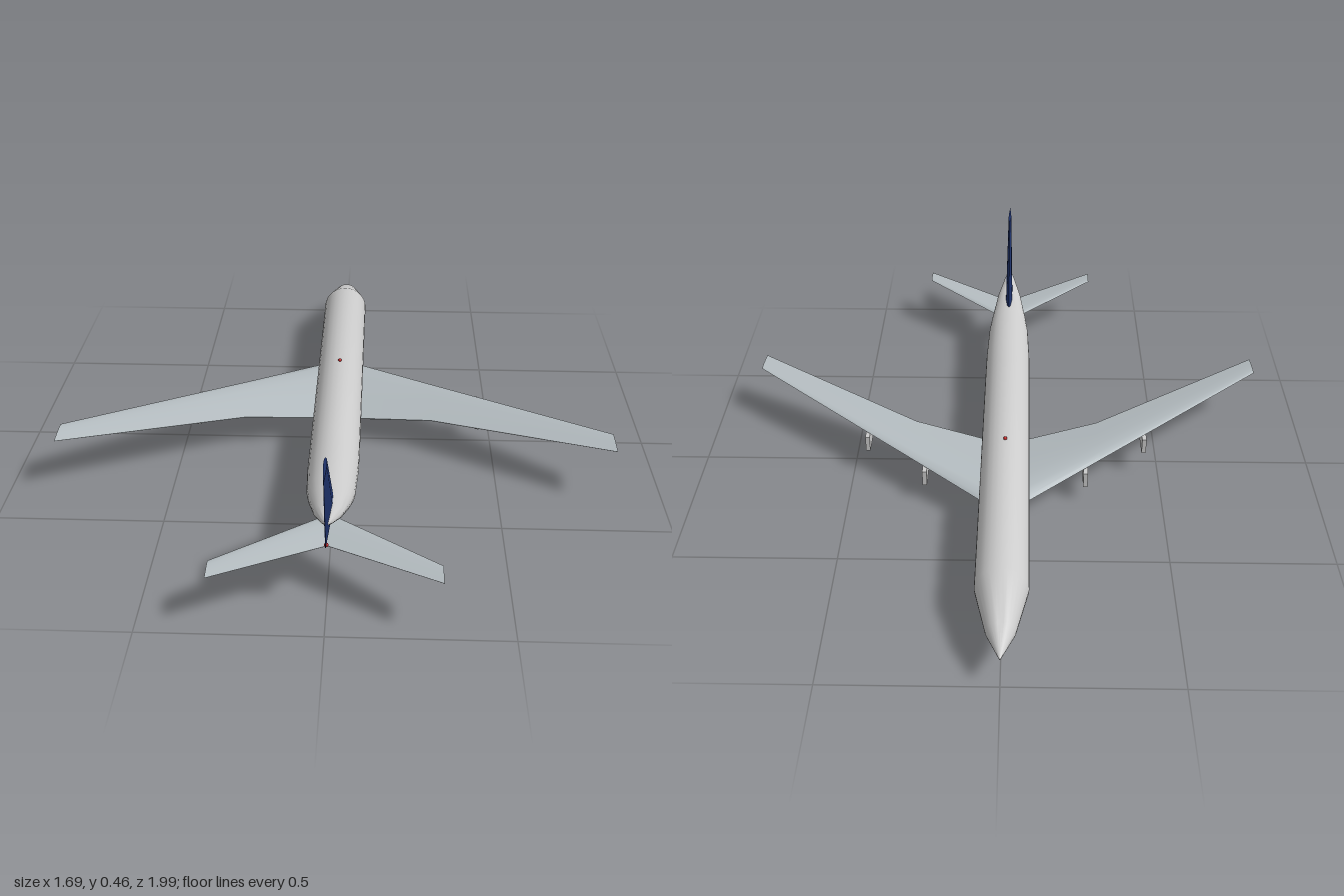
import * as THREE from 'three';
import { toCreasedNormals } from 'three/addons/utils/BufferGeometryUtils.js';

const material = (color) => new THREE.MeshStandardMaterial({ color });

// Skin a list of equal-length rings and close both ends
function loft(rings, crease = 0.6) {
  const n = rings[0].length, pos = rings.flat(2), idx = [];
  for (let i = 0; i < rings.length - 1; i++) {
    for (let j = 0; j < n; j++) {
      const a = i * n + j, b = i * n + (j + 1) % n;
      idx.push(a, b, a + n, b, b + n, a + n);
    }
  }
  const last = (rings.length - 1) * n;
  for (let j = 1; j < n - 1; j++) {
    idx.push(0, j + 1, j);
    idx.push(last, last + j, last + j + 1);
  }
  const g = new THREE.BufferGeometry();
  g.setAttribute('position', new THREE.Float32BufferAttribute(pos, 3));
  g.setIndex(idx);
  return toCreasedNormals(g, crease);
}

// Elliptical body along z from rows of [z, bottom, top, half width]
function body(rows, sides = 28) {
  return loft(rows.map(([z, y0, y1, rx]) => Array.from({ length: sides }, (_, j) => {
    const a = j / sides * Math.PI * 2;
    return [rx * Math.cos(a), (y0 + y1) / 2 + (y1 - y0) / 2 * Math.sin(a), z];
  })));
}

// Aerofoil outline: [fraction of chord, fraction of half thickness]
const FOIL = [[0, 0], [0.04, 0.5], [0.15, 0.9], [0.35, 1], [0.65, 0.65], [1, 0.06],
  [1, -0.06], [0.65, -0.5], [0.35, -0.8], [0.15, -0.75], [0.04, -0.45]];

// Wing half from rows of [x, leading z, trailing z, leading y, trailing y, half thickness]
function wing(rows, side) {
  const rings = rows.map(([x, z0, z1, y0, y1, t]) =>
    FOIL.map(([c, h]) => [side * x, y0 + (y1 - y0) * c + h * t, z0 + (z1 - z0) * c]));
  return loft(side > 0 ? rings : rings.reverse());
}

// Upright fin from rows of [y, leading z, trailing z, half thickness]
function finGeometry(rows) {
  return loft(rows.map(([y, z0, z1, t]) => FOIL.map(([c, h]) => {
    const even = Math.sign(h) * Math.min(1, Math.abs(h) * (h < 0 ? 1.25 : 1));
    return [-even * t, y, z0 + (z1 - z0) * c];
  })));
}

export function createModel() {
  const model = new THREE.Group();
  model.name = 'airliner';
  const white = material(0xe2e2e2), silver = material(0xb4bcc0);
  const blue = material(0x1c2f66), grey = material(0xcccccc);
  const red = material(0xc02020), dark = material(0x777777);
  const add = (name, geometry, mat, x = 0, y = 0, z = 0) => {
    const mesh = new THREE.Mesh(geometry, mat);
    mesh.name = name;
    mesh.position.set(x, y, z);
    model.add(mesh);
    return mesh;
  };

  // Fuselage, nose towards -z, tail cone swept upwards
  add('fuselage', body([
    [-1, 0.108, 0.112, 0.002], [-0.91, 0.077, 0.16, 0.042], [-0.76, 0.055, 0.21, 0.077],
    [0.3, 0.055, 0.21, 0.077], [0.42, 0.069, 0.216, 0.076], [0.565, 0.096, 0.225, 0.07],
    [0.63, 0.128, 0.228, 0.061], [0.74, 0.185, 0.244, 0.041],
    [0.82, 0.23, 0.257, 0.018], [0.86, 0.256, 0.264, 0.004],
  ]), white);

  // Vertical fin
  add('tailFin', finGeometry([[0.215, 0.62, 0.9, 0.012], [0.465, 0.86, 0.977, 0.005]]), blue);

  for (const side of [1, -1]) {
    const label = side > 0 ? 'left' : 'right';

    // Main wing with a kinked trailing edge
    add(label + 'Wing', wing([
      [0, -0.39, -0.01, 0.09, 0.075, 0.025], [0.077, -0.33, 0.01, 0.1, 0.085, 0.022],
      [0.3, -0.158, 0.065, 0.127, 0.114, 0.013], [0.845, 0.26, 0.355, 0.192, 0.187, 0.004],
    ], side), silver);

    // Horizontal tailplane
    add(label + 'Tailplane', wing([
      [0, 0.66, 0.81, 0.155, 0.155, 0.008], [0.305, 0.92, 0.99, 0.181, 0.178, 0.003],
    ], side), silver);

    // Pylons beneath the wing
    const pylon = new THREE.BoxGeometry(0.014, 0.052, 0.125);
    add(label + 'InnerPylon', pylon, grey, side * 0.255, 0.087, -0.148);
    add(label + 'OuterPylon', pylon, grey, side * 0.45, 0.111, 0.002);
  }

  // Belly pod and the slimmer fairing behind it
  add('bellyPod', body([
    [-0.263, 0.022, 0.056, 0.024], [-0.25, 0.01, 0.064, 0.038], [-0.22, 0.005, 0.068, 0.045],
    [-0.14, 0.014, 0.072, 0.045], [-0.06, 0.026, 0.072, 0.036], [-0.02, 0.038, 0.07, 0.018],
  ], 20), white);
  add('rearFairing', body([
    [-0.04, 0.03, 0.066, 0.018], [0.06, 0.038, 0.066, 0.017], [0.11, 0.048, 0.062, 0.008],
  ], 14), dark);

  // Small beacons on the roof and below the tail
  const beacon = new THREE.SphereGeometry(0.006, 10, 8);
  add('roofBeacon', beacon, red, 0, 0.212, -0.16);
  add('tailBeacon', beacon, red, 0, 0.195, 0.86);

  return model;
}
